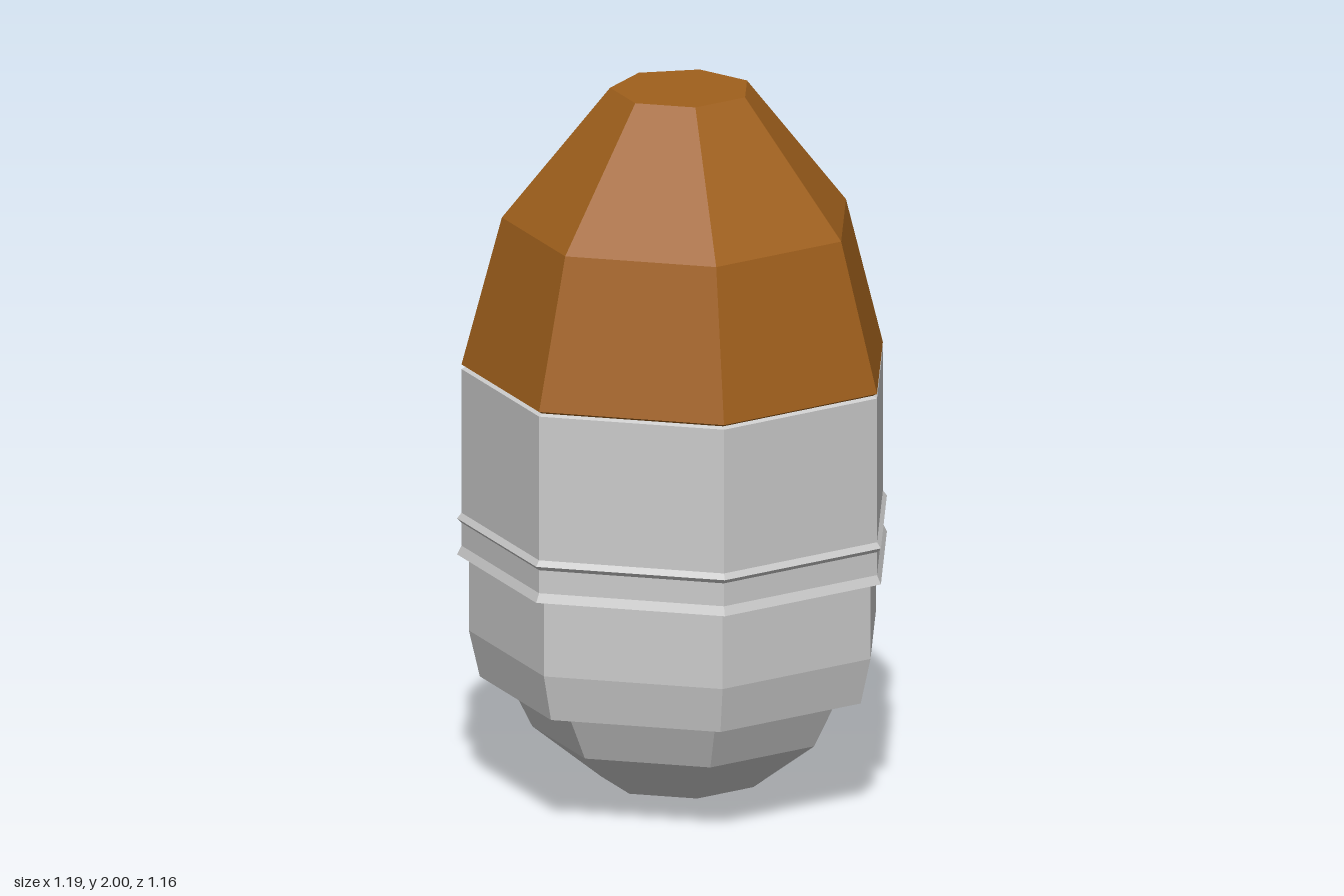
import * as THREE from 'three';

const SIDES = 7;
const Z_OFFSET = 0.03; // centres the odd-sided footprint in depth

// Seven-sided faceted shell from a bottom-to-top profile of [radius, y],
// with one corner pointing straight back.
function shell(name, profile, color = 0xcccccc) {
  const points = profile.map(([r, y]) => new THREE.Vector2(r, y));
  const mesh = new THREE.Mesh(
    new THREE.LatheGeometry(points, SIDES, Math.PI),
    new THREE.MeshStandardMaterial({ color, flatShading: true })
  );
  mesh.name = name;
  mesh.position.z = Z_OFFSET;
  return mesh;
}

export function createModel() {
  const group = new THREE.Group();
  group.name = 'capsule';

  // Faceted rounded base, tucked into the skirt
  group.add(shell('roundedBase', [
    [0, 0], [0.22, 0.05], [0.407, 0.19], [0.477, 0.33], [0.49, 0.36]
  ]));

  // Lower skirt with a shallow recess around the base
  group.add(shell('lowerSkirt', [
    [0.48, 0.36], [0.515, 0.36], [0.515, 0.33], [0.55, 0.33],
    [0.58, 0.46], [0.58, 0.69]
  ]));

  // Main casing with flared lower lip and a thin ridge
  group.add(shell('casing', [
    [0.57, 0.675], [0.612, 0.675], [0.6, 0.7], [0.6, 0.765],
    [0.612, 0.777], [0.6, 0.793], [0.6, 1.2], [0.585, 1.207], [0, 1.207]
  ]));

  // Brown tapered cap with flat top
  group.add(shell('cap', [
    [0, 1.205], [0.585, 1.205], [0.6, 1.213], [0.49, 1.63], [0.195, 2], [0, 2]
  ], 0xa0601c));

  return group;
}
